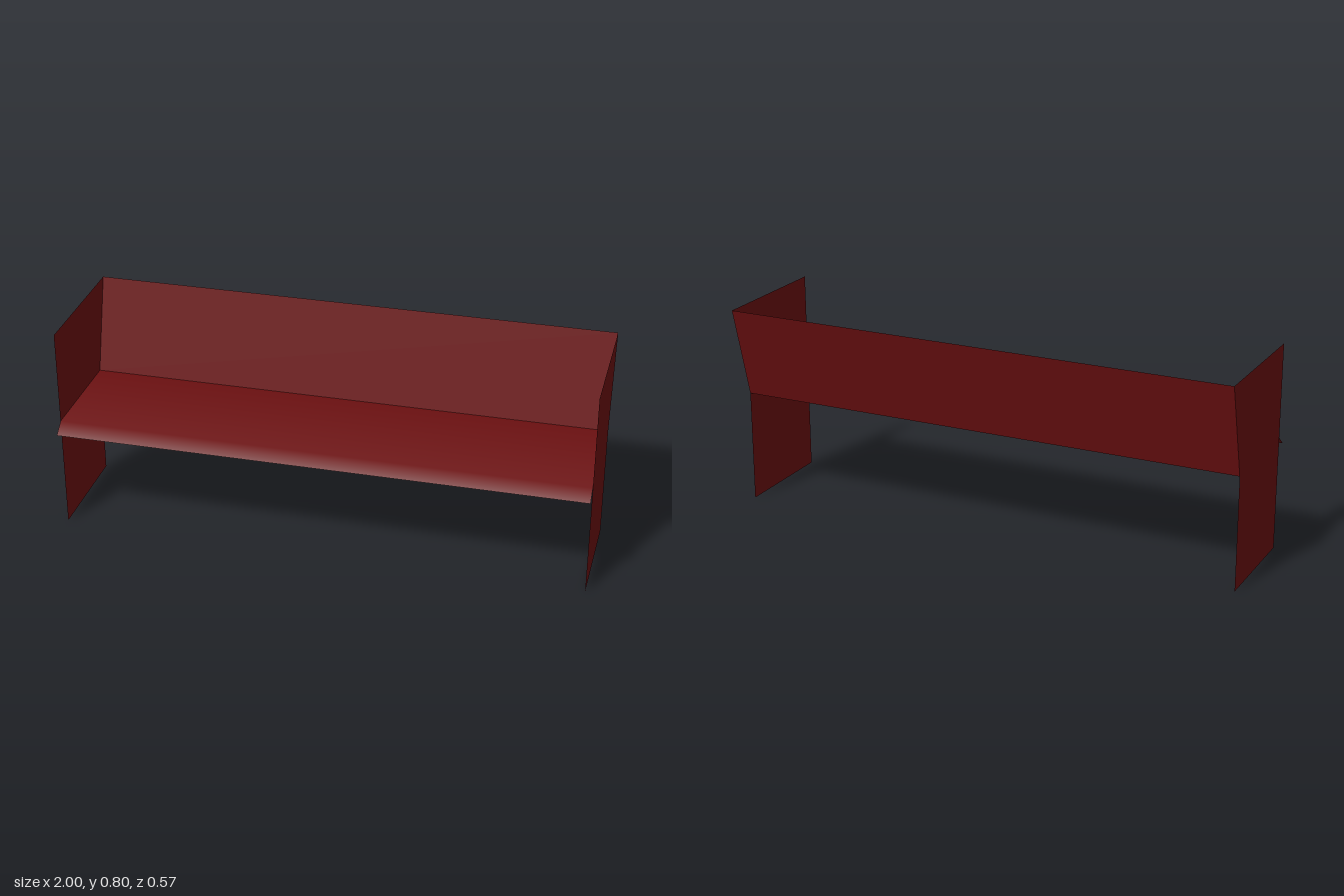
import * as THREE from 'three';

const red = new THREE.MeshStandardMaterial({ color: 0x6a0f10, side: THREE.DoubleSide });
red.name = 'dark red';

// Sheet running along x; profile rows are [z, y, tilt of normal from up towards front]
function sheet(name, profile) {
  const position = [], normal = [], index = [];
  profile.forEach(([z, y, tilt], i) => {
    for (const x of [-1, 1]) {
      position.push(x, y, z);
      normal.push(0, Math.cos(tilt), Math.sin(tilt));
    }
    if (i > 0) {
      const a = 2 * i - 2;
      index.push(a, a + 2, a + 1, a + 1, a + 2, a + 3);
    }
  });
  const geometry = new THREE.BufferGeometry();
  geometry.setAttribute('position', new THREE.Float32BufferAttribute(position, 3));
  geometry.setAttribute('normal', new THREE.Float32BufferAttribute(normal, 3));
  geometry.setIndex(index);
  const mesh = new THREE.Mesh(geometry, red);
  mesh.name = name;
  return mesh;
}

export function createModel() {
  const bench = new THREE.Group();
  bench.name = 'bench';

  // Seat: flat, with a softly shaded lip folded down at the front
  bench.add(sheet('seat', [[0.285, 0.40, 0.7], [0.24, 0.437, 0.35], [-0.187, 0.437, 0]].reverse()));

  // Backrest: leans backwards
  const lean = Math.atan2(0.36, 0.098);
  bench.add(sheet('backrest', [[-0.285, 0.797, lean], [-0.187, 0.437, lean]]));

  // End panels: legs and armrests in one sheet, following the lean of the back
  const outline = new THREE.Shape([
    [0.24, 0], [0.24, 0.797], [-0.285, 0.797], [-0.187, 0.437], [-0.187, 0],
  ].map(([z, y]) => new THREE.Vector2(z, y)));
  for (const side of [-1, 1]) {
    const panel = new THREE.Mesh(new THREE.ShapeGeometry(outline), red);
    panel.name = side > 0 ? 'leftEndPanel' : 'rightEndPanel';
    panel.rotation.y = -Math.PI / 2;
    panel.position.x = side;
    bench.add(panel);
  }
  return bench;
}
